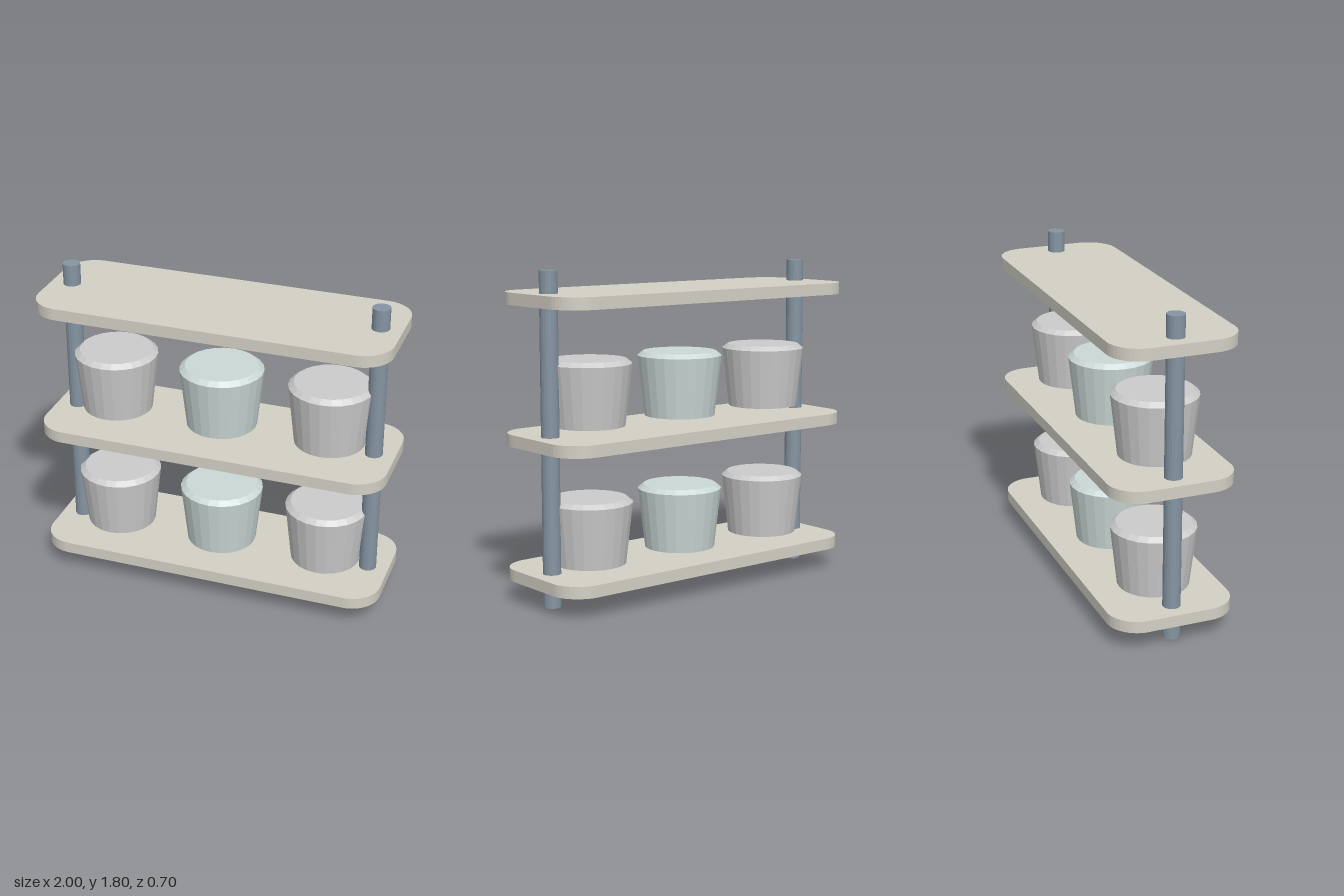
import * as THREE from 'three';

const material = (color) => new THREE.MeshStandardMaterial({ color, flatShading: true });

// Rounded rectangle board lying flat, centred on its own origin
function shelfGeometry(width, depth, thickness, radius) {
  const x = width / 2, y = depth / 2, r = radius;
  const shape = new THREE.Shape();
  shape.absarc(x - r, y - r, r, 0, Math.PI / 2);
  shape.absarc(-x + r, y - r, r, Math.PI / 2, Math.PI);
  shape.absarc(-x + r, -y + r, r, Math.PI, Math.PI * 1.5);
  shape.absarc(x - r, -y + r, r, Math.PI * 1.5, Math.PI * 2);
  const geometry = new THREE.ExtrudeGeometry(shape, { depth: thickness, bevelEnabled: false, curveSegments: 6 });
  geometry.translate(0, 0, -thickness / 2);
  geometry.rotateX(-Math.PI / 2);
  return geometry;
}

// Closed tapered pot with a chamfered lid, standing on its own origin
function potGeometry() {
  const profile = [[0, 0], [0.198, 0], [0.236, 0.337], [0.206, 0.361], [0, 0.361]];
  return new THREE.LatheGeometry(profile.map(([r, y]) => new THREE.Vector2(r, y)), 24);
}

export function createModel() {
  const group = new THREE.Group();
  const add = (name, geometry, mat, x, y) => {
    const mesh = new THREE.Mesh(geometry, mat);
    mesh.name = name;
    mesh.position.set(x, y, 0);
    group.add(mesh);
  };

  // Shelves
  const board = shelfGeometry(2, 0.7, 0.066, 0.17);
  const boardMaterial = material(0xd3d0c5);
  [['bottomShelf', 0.149], ['middleShelf', 0.888], ['topShelf', 1.646]]
    .forEach(([name, y]) => add(name, board, boardMaterial, 0, y));

  // Posts passing through every shelf
  const post = new THREE.CylinderGeometry(0.049, 0.049, 1.8, 20);
  const postMaterial = material(0x8595a2);
  add('leftPost', post, postMaterial, 0.88, 0.9);
  add('rightPost', post, postMaterial, -0.88, 0.9);

  // Two rows of three pots, the middle one tinted
  const pot = potGeometry();
  const grey = material(0xcccccc);
  const tinted = material(0xcad8d6);
  [['lower', 0.205], ['upper', 0.96]].forEach(([row, y]) => {
    add(row + 'LeftPot', pot, grey, 0.628, y);
    add(row + 'MiddlePot', pot, tinted, 0, y);
    add(row + 'RightPot', pot, grey, -0.628, y);
  });

  return group;
}
